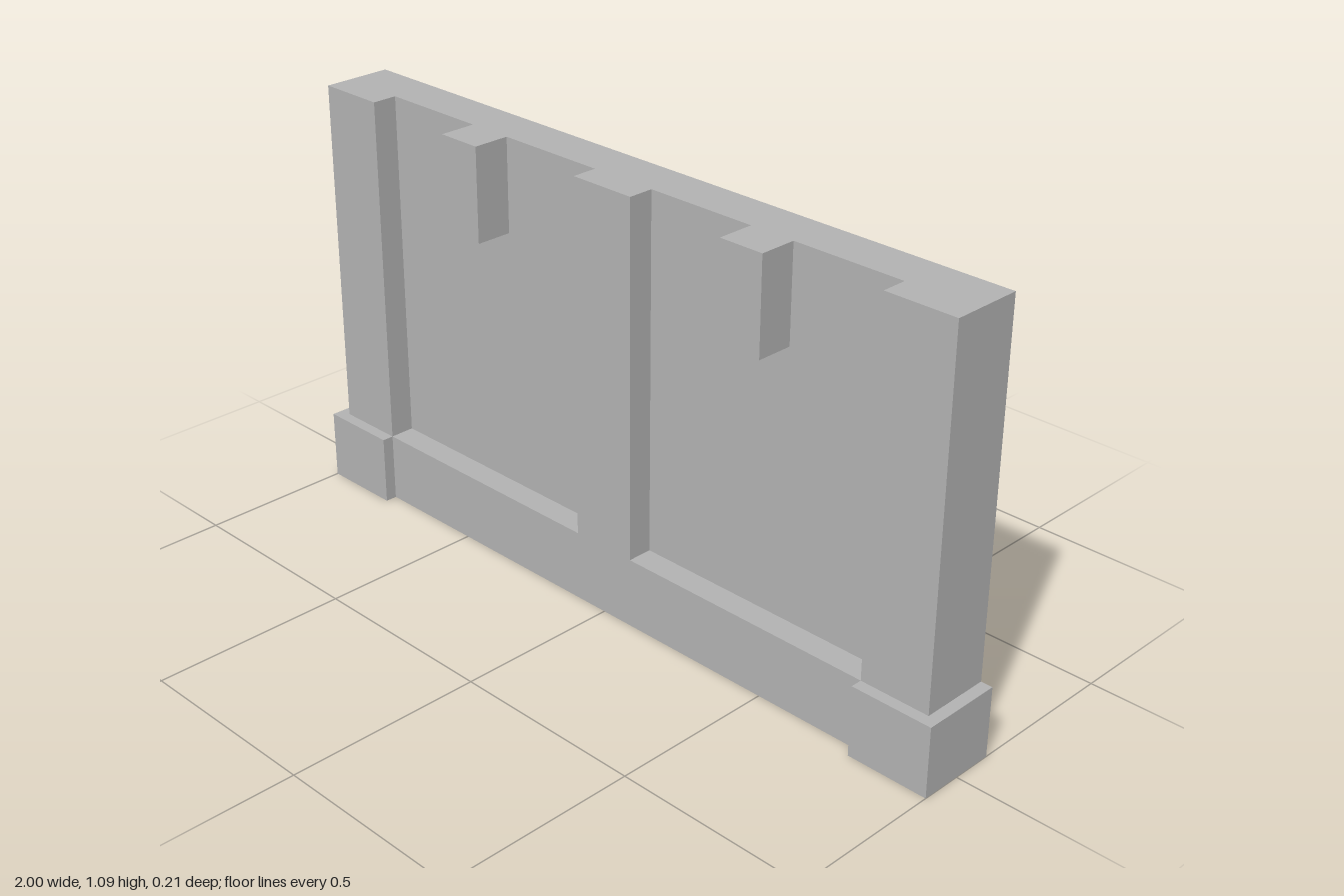
import * as THREE from 'three';

const BACK = -0.105, PANEL = 0.01, PIER = 0.075, FRONT = 0.105;
const BASE_TOP = 0.18, TOP = 1.09;

// Extrude a floor plan, given as [x, z] points, from y0 up to y1.
function extrudePlan(name, plan, y0, y1, material) {
  const shape = new THREE.Shape(plan.map(([x, z]) => new THREE.Vector2(x, -z)));
  const geometry = new THREE.ExtrudeGeometry(shape, { depth: y1 - y0, bevelEnabled: false });
  geometry.rotateX(-Math.PI / 2);
  geometry.translate(0, y0, 0);
  const mesh = new THREE.Mesh(geometry, material);
  mesh.name = name;
  return mesh;
}

export function createModel() {
  const group = new THREE.Group();
  group.name = 'wallSection';
  const stone = new THREE.MeshStandardMaterial({ color: 0xb2b2b2 });
  stone.name = 'grey stone';

  // Plinth: a long rail with a projecting block at each end
  group.add(extrudePlan('plinth', [
    [-1, BACK], [-1, FRONT], [-0.79, FRONT], [-0.79, PIER],
    [0.787, PIER], [0.787, FRONT], [1, FRONT], [1, BACK],
  ], 0, BASE_TOP, stone));

  // Wall: two end piers and a centre pier with recessed panels between them
  group.add(extrudePlan('wall', [
    [-0.97, BACK], [-0.97, PIER], [-0.79, PIER], [-0.79, PANEL],
    [-0.09, PANEL], [-0.09, PIER], [0.087, PIER], [0.087, PANEL],
    [0.787, PANEL], [0.787, PIER], [0.97, PIER], [0.97, BACK],
  ], BASE_TOP, TOP, stone));

  // Corbels hanging from the top edge of each panel
  for (const [name, x] of [['rightCorbel', -0.443], ['leftCorbel', 0.438]]) {
    const corbel = new THREE.Mesh(new THREE.BoxGeometry(0.118, 0.24, FRONT - PANEL), stone);
    corbel.name = name;
    corbel.position.set(x, TOP - 0.12, (FRONT + PANEL) / 2);
    group.add(corbel);
  }
  return group;
}
